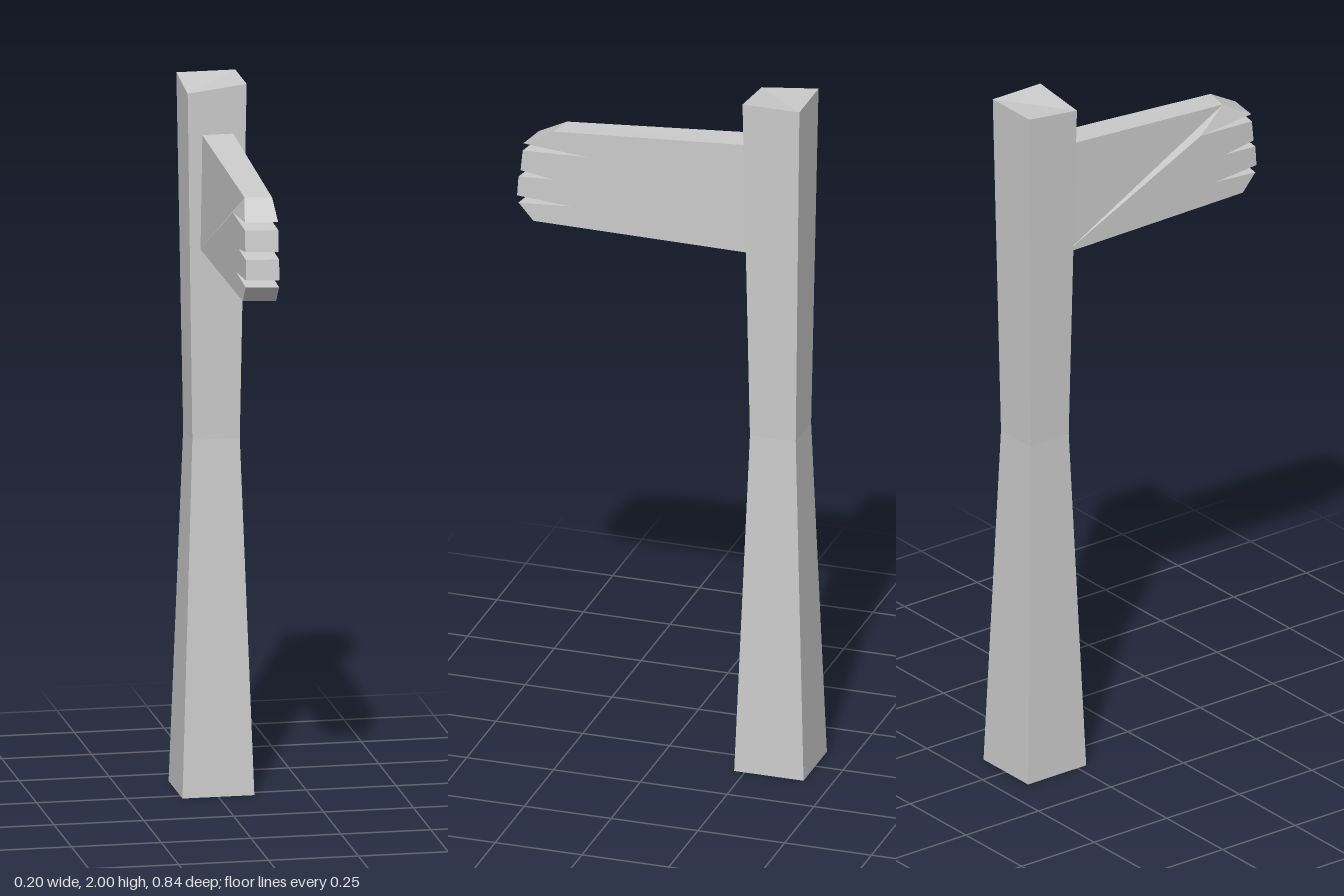
import * as THREE from 'three';

const material = new THREE.MeshStandardMaterial({ color: 0xcccccc, flatShading: true });

// Reshape a geometry by applying a rule to every vertex
function moveVertices(geometry, rule) {
  const pos = geometry.attributes.position;
  const v = new THREE.Vector3();
  for (let i = 0; i < pos.count; i++) {
    rule(v.fromBufferAttribute(pos, i));
    pos.setXYZ(i, v.x, v.y, v.z);
  }
  geometry.computeVertexNormals();
  return geometry;
}

// Square post, pinched at mid height, with one front top corner worn down
function createPost() {
  const halfWidths = [0.1, 0.066, 0.082];
  const geometry = moveVertices(new THREE.BoxGeometry(2, 2, 2, 1, 2, 1), (v) => {
    const half = halfWidths[Math.round(v.y) + 1];
    const worn = v.y > 0.5 && v.x < 0 && v.z > 0;
    v.set(v.x * half, v.y + 1 - (worn ? 0.02 : 0), v.z * half - 0.32);
  });
  const post = new THREE.Mesh(geometry, material);
  post.name = 'post';
  return post;
}

// Sign board with a splintered end; outline points are (z, y)
function createBoard() {
  const outline = [
    [-0.25, 1.538], [0.377, 1.543],
    [0.42, 1.592], [0.27, 1.602], [0.424, 1.613],
    [0.42, 1.67], [0.32, 1.676], [0.414, 1.69],
    [0.408, 1.75], [0.218, 1.757], [0.406, 1.772],
    [0.32, 1.82], [-0.25, 1.862],
  ].map(([z, y]) => new THREE.Vector2(z, y));
  const geometry = new THREE.ExtrudeGeometry(new THREE.Shape(outline), { depth: 0.09, bevelEnabled: false });
  geometry.rotateY(-Math.PI / 2).translate(0.045, 0, 0);

  // The right face is slightly shorter and leans in along its top edge
  moveVertices(geometry, (v) => {
    if (v.x > 0) return;
    if (v.y > 1.8) v.x += v.z > 0 ? 0.016 : 0.004;
    if (v.z > 0.3) v.z -= 0.015;
  });
  const board = new THREE.Mesh(geometry, material);
  board.name = 'signBoard';
  return board;
}

export function createModel() {
  const group = new THREE.Group();
  group.name = 'signpost';
  group.add(createPost(), createBoard());
  return group;
}
